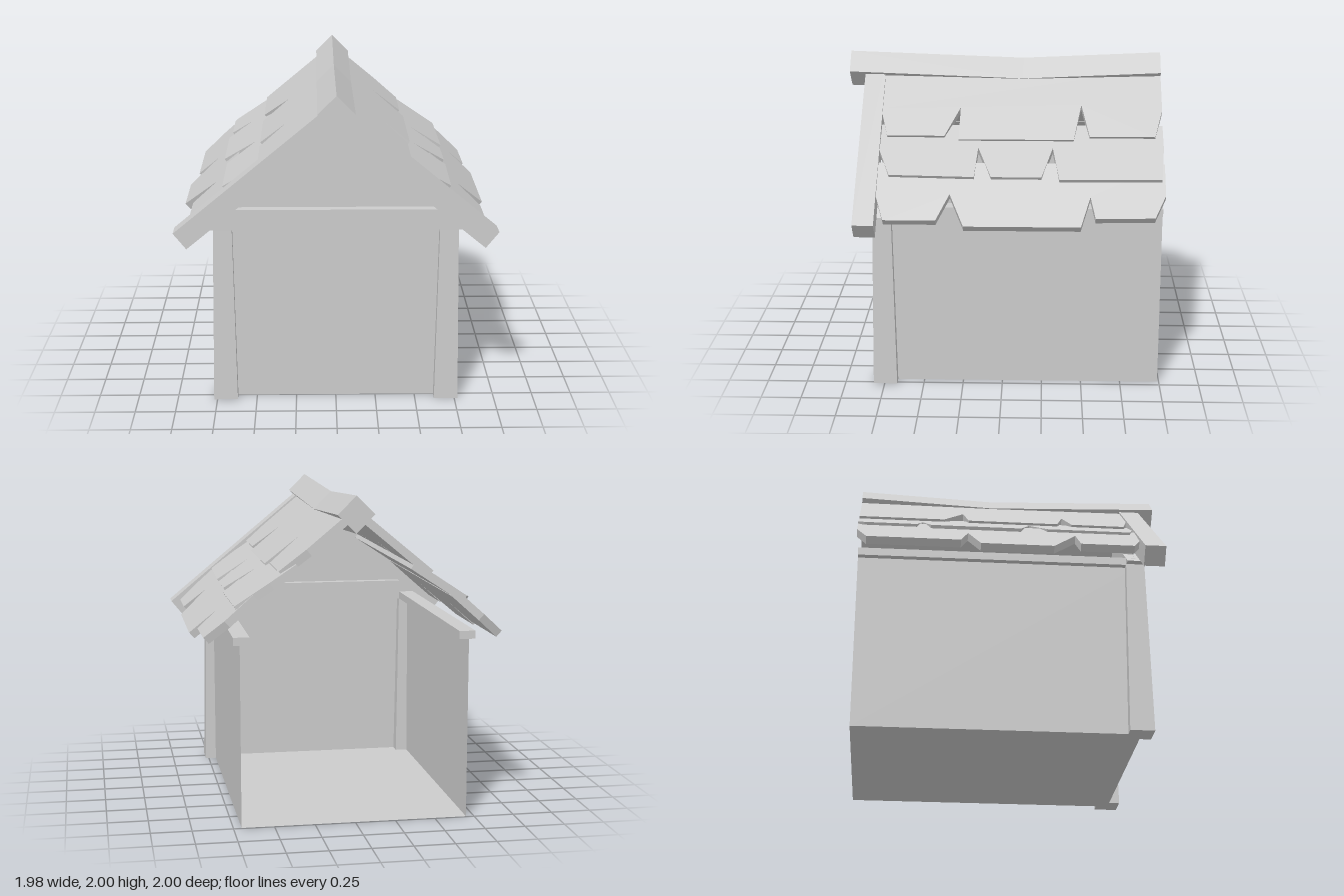
import * as THREE from 'three';

const mat = new THREE.MeshStandardMaterial({ color: 0xcccccc, flatShading: true, side: THREE.DoubleSide });

function add(parent, name, geometry, x = 0, y = 0, z = 0) {
  const mesh = new THREE.Mesh(geometry, mat);
  mesh.name = name;
  mesh.position.set(x, y, z);
  parent.add(mesh);
  return mesh;
}

const shapeOf = pts => new THREE.Shape(pts.map(([x, y]) => new THREE.Vector2(x, y)));
const slab = (pts, depth) => new THREE.ExtrudeGeometry(shapeOf(pts), { depth, bevelEnabled: false });

// Shingle rows: top surface passes through (x, y) with the given slope, and
// runs up to x = inner. Edges list [distance from centre, z], back to front.
const rows = [
  {
    name: 'eaveShingles', x: 0.96, y: 1.12, slope: 0.89, inner: 0.62,
    right: [[0.79, -1], [0.91, -0.93], [0.915, -0.57], [0.8, -0.54], [0.96, -0.48], [0.96, 0.23],
      [0.79, 0.32], [0.93, 0.4], [0.93, 0.72], [0.78, 0.78]],
    left: [[0.79, -1], [0.92, -0.94], [0.92, -0.36], [0.78, -0.31], [0.97, -0.24], [0.97, 0.21],
      [0.75, 0.37], [0.905, 0.385], [0.905, 0.72], [0.78, 0.78]],
  },
  {
    name: 'middleShingles', x: 0.73, y: 1.355, slope: 0.66, inner: 0.36,
    right: [[0.52, -1], [0.73, -0.98], [0.735, -0.35], [0.52, -0.31], [0.72, -0.24], [0.72, 0.07],
      [0.52, 0.155], [0.72, 0.175], [0.71, 0.7], [0.52, 0.78]],
    left: [[0.68, -1], [0.7, -0.96], [0.7, -0.63], [0.56, -0.59], [0.72, -0.54], [0.72, 0.03],
      [0.51, 0.1], [0.695, 0.2], [0.695, 0.73], [0.52, 0.78]],
  },
  {
    name: 'upperShingles', x: 0.47, y: 1.545, slope: 0.83, inner: 0.04,
    right: [[0.3, -1], [0.46, -0.95], [0.46, -0.54], [0.27, -0.49], [0.48, -0.44], [0.48, 0.28],
      [0.29, 0.275], [0.46, 0.37], [0.46, 0.73], [0.3, 0.78]],
    left: [[0.47, -1], [0.47, -0.45], [0.3, -0.32], [0.475, -0.29], [0.475, 0.29],
      [0.31, 0.34], [0.475, 0.385], [0.475, 0.73], [0.31, 0.78]],
  },
];

// Notched slab laid on the roof pitch; s = +1 or -1 picks the side
function shingleRow(row, s) {
  const edge = s > 0 ? row.right : row.left;
  const outline = [[row.inner, -1], ...edge, [row.inner, 0.78]].map(([x, z]) => [s * x, z]);
  const geometry = slab(outline, 0.05);
  const along = new THREE.Vector3(1, -s * row.slope, 0);
  const down = new THREE.Vector3(-s * row.slope, -1, 0).normalize();
  geometry.applyMatrix4(new THREE.Matrix4().makeBasis(along, new THREE.Vector3(0, 0, 1), down));
  geometry.translate(0, row.y + row.slope * row.x, 0);
  return geometry;
}

// Square beam set on its corner, sagging a little at the middle
function ridgeGeometry() {
  const geometry = new THREE.CylinderGeometry(0.113, 0.113, 2, 4, 2).rotateX(Math.PI / 2);
  const p = geometry.attributes.position;
  for (let i = 0; i < p.count; i++) {
    if (Math.abs(p.getZ(i)) < 0.5) {
      p.setY(i, p.getY(i) - 0.04);
      p.setZ(i, -0.12);
    }
  }
  return geometry;
}

export function createModel() {
  const house = new THREE.Group();
  house.name = 'house';

  // Floor and thin walls, open at the back
  add(house, 'floor', new THREE.PlaneGeometry(1.4, 1.74).rotateX(-Math.PI / 2), 0, 0, -0.12);
  const front = [[-0.7, 0], [0.7, 0], [0.7, 1.12], [0.8, 1.12], [0, 1.78], [-0.8, 1.12], [-0.7, 1.12]];
  add(house, 'frontWall', new THREE.ShapeGeometry(shapeOf(front)), 0, 0, 0.75);

  // Cross beam below the gable
  add(house, 'crossBeam', slab([[-0.8, 1.12], [0.8, 1.12], [0.64, 1.25], [-0.64, 1.25]], 0.12), 0, 0, 0.69);

  for (const s of [1, -1]) {
    const side = s > 0 ? 'left' : 'right';
    add(house, side + 'Wall', new THREE.PlaneGeometry(1.74, 1.12).rotateY(s * Math.PI / 2), s * 0.7, 0.56, -0.12);
    add(house, side + 'WallPlate', new THREE.BoxGeometry(0.1, 0.05, 1.74), s * 0.69, 1.145, -0.12);

    // Tapered corner post
    const post = new THREE.CylinderGeometry(0.115 * Math.SQRT1_2, 0.15 * Math.SQRT1_2, 1.12, 4).rotateY(Math.PI / 4);
    add(house, side + 'Post', post, s * 0.696, 0.56, 0.745);

    // Sloping board along the gable edge
    const board = [[0, 1.78], [0.91, 1.03], [0.99, 1.13], [0, 1.95]].map(([x, y]) => [s * x, y]);
    add(house, side + 'GableBoard', slab(board, 0.13), 0, 0, 0.77);

    for (const row of rows) add(house, side + '_' + row.name, shingleRow(row, s));
  }

  add(house, 'ridgeBeam', ridgeGeometry(), 0, 1.887, 0);
  return house;
}
